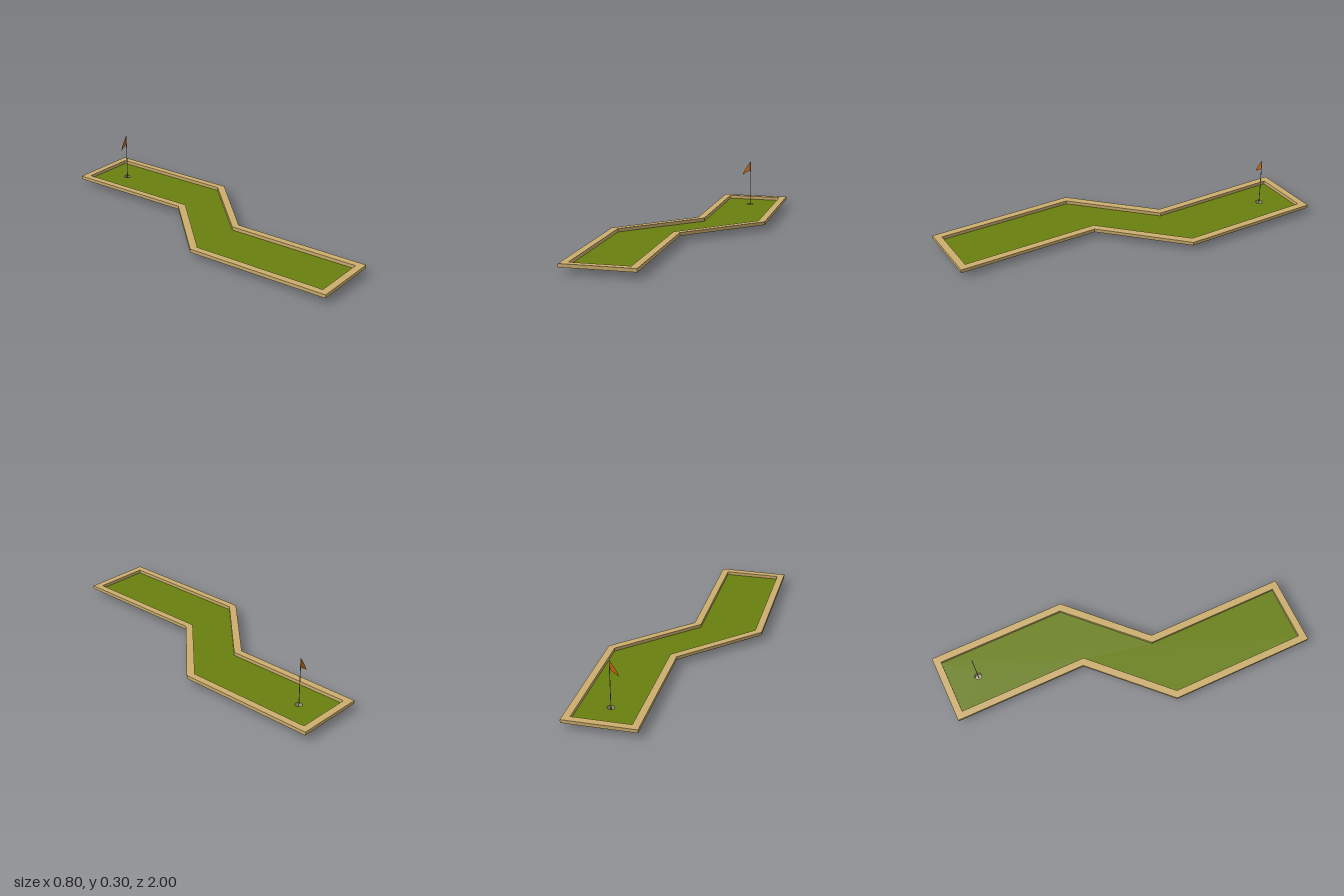
import * as THREE from 'three';

// Outlines as [x, z], clockwise seen from above
const OUTER = [[0, -1], [0.4, -1], [0.4, -0.2], [0, 0.195], [0, 1], [-0.4, 1], [-0.4, 0.165], [0, -0.235]];
const INNER = [[0.04, -0.96], [0.36, -0.96], [0.36, -0.22], [-0.04, 0.18], [-0.04, 0.96], [-0.36, 0.96], [-0.36, 0.182], [0.04, -0.215]];
const FLOOR_Y = 0.031, RAIL_Y = 0.05;
const HOLE = { x: 0.2, z: -0.8, r: 0.02 };

const material = (name, color) => {
  const m = new THREE.MeshStandardMaterial({ color, side: THREE.DoubleSide });
  m.name = name;
  return m;
};

// Joins successive closed rings of points with flat-shaded quads
function loftRings(rings) {
  const positions = [];
  for (let k = 0; k < rings.length - 1; k++) {
    const n = rings[k].length;
    for (let i = 0; i < n; i++) {
      const j = (i + 1) % n;
      const a = rings[k][i], b = rings[k][j], c = rings[k + 1][j], d = rings[k + 1][i];
      positions.push(...a, ...d, ...c, ...a, ...c, ...b);
    }
  }
  const geometry = new THREE.BufferGeometry();
  geometry.setAttribute('position', new THREE.Float32BufferAttribute(positions, 3));
  geometry.computeVertexNormals();
  return geometry;
}

export function createModel() {
  const group = new THREE.Group();
  group.name = 'miniGolfLane';

  const wood = material('wood', 0xcbad6d);
  const turf = material('turf', 0x697f0e);
  const cupMetal = material('cupMetal', 0xb2a884);
  const poleMetal = material('poleMetal', 0x8a8a8a);
  const orange = material('orange', 0xcc6a10);

  const add = (name, geometry, mat, x = 0, y = 0, z = 0) => {
    const mesh = new THREE.Mesh(geometry, mat);
    mesh.name = name;
    mesh.position.set(x, y, z);
    group.add(mesh);
  };

  // Hollow border rail, open underneath
  const ring = (outline, y) => outline.map(([x, z]) => [x, y, z]);
  add('borderRail', loftRings([
    ring(OUTER, FLOOR_Y), ring(OUTER, RAIL_Y), ring(INNER, RAIL_Y), ring(INNER, FLOOR_Y),
  ]), wood);

  // Playing surface with the hole cut out
  const surface = new THREE.Shape(INNER.map(([x, z]) => new THREE.Vector2(x, -z)));
  const hole = new THREE.Path();
  hole.absarc(HOLE.x, -HOLE.z, HOLE.r, 0, Math.PI * 2, true);
  surface.holes.push(hole);
  add('turfSurface', new THREE.ShapeGeometry(surface, 8).rotateX(-Math.PI / 2), turf, 0, FLOOR_Y, 0);

  // Cup below the hole
  add('cupWall', new THREE.CylinderGeometry(HOLE.r, HOLE.r, FLOOR_Y, 16, 1, true), cupMetal, HOLE.x, FLOOR_Y / 2, HOLE.z);
  add('cupBottom', new THREE.CircleGeometry(HOLE.r, 16).rotateX(-Math.PI / 2), cupMetal, HOLE.x, 0.0005, HOLE.z);

  // Flag pole
  add('flagPole', new THREE.CylinderGeometry(0.002, 0.002, 0.3, 8), poleMetal, HOLE.x, 0.15, HOLE.z);

  // Drooping pennant
  const pennant = new THREE.Shape([
    [0, 0.302], [-0.012, 0.285], [-0.03, 0.256], [-0.041, 0.238], [-0.049, 0.214],
    [-0.032, 0.229], [-0.016, 0.237], [-0.006, 0.247], [0, 0.256],
  ].map(([x, y]) => new THREE.Vector2(x, y)));
  add('pennant', new THREE.ShapeGeometry(pennant), orange, HOLE.x, 0, HOLE.z);

  return group;
}
